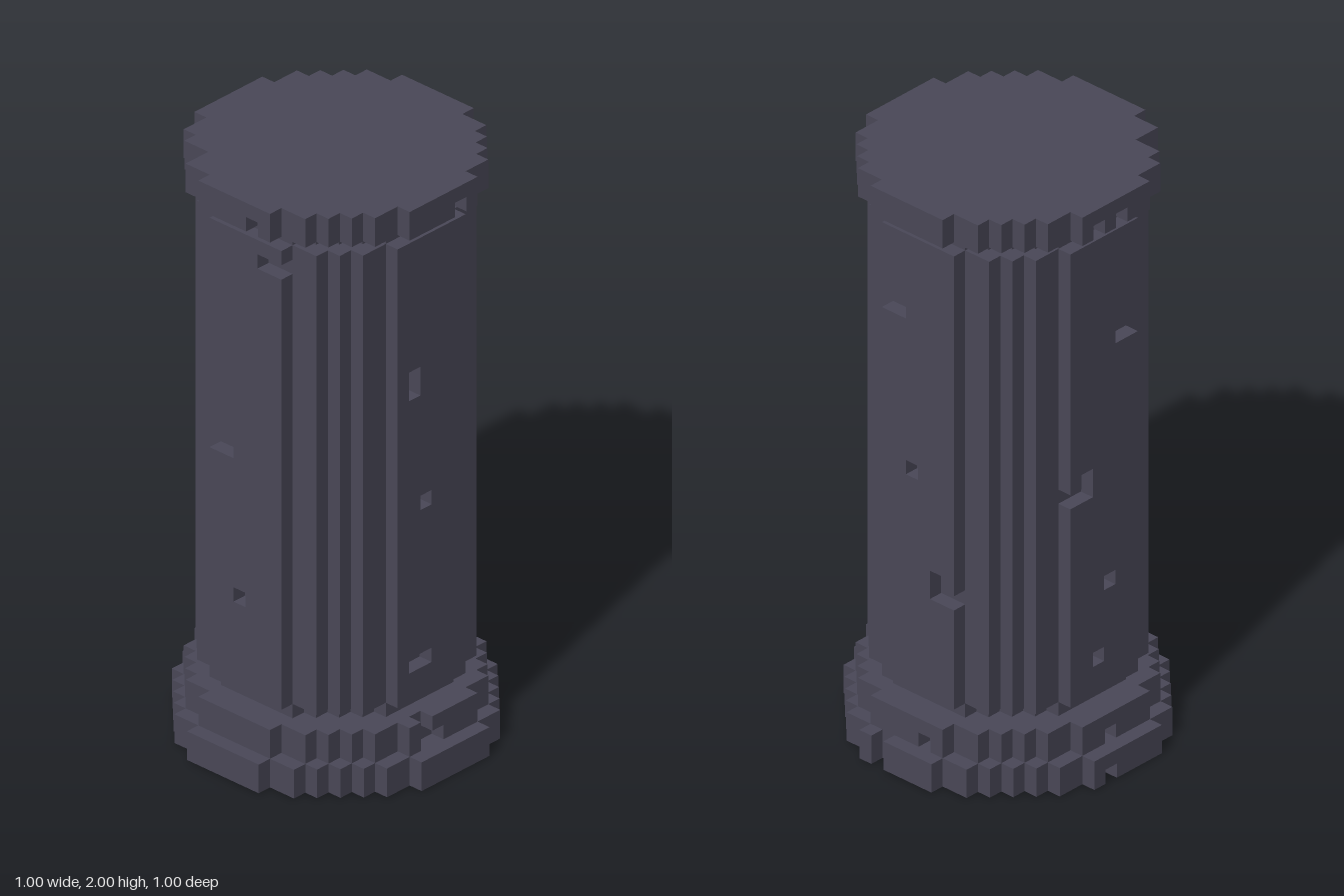
import * as THREE from 'three';

const CELL = 0.05;

// Stacked round layers: name, first row, end row, squared radius in cells
const LAYERS = [
  ['baseSlab', 0, 2, 97.5],
  ['basePlinth', 2, 4, 80],
  ['lowerNeck', 4, 5, 48.6],
  ['shaft', 5, 37, 64],
  ['upperNeck', 37, 38, 48.6],
  ['capital', 38, 40, 80],
];

// Chipped-out cells [x, row, z]
const CHIPS = [
  // front
  [1, 38, 8], [1, 37, 6], [2, 37, 6], [-2, 26, 7], [-2, 27, 7], [-1, 18, 7],
  [-2, 7, 7], [-1, 7, 7], [-2, 2, 8], [-2, 3, 8], [-1, 2, 8],
  // left side
  [7, 31, 1], [7, 31, 2], [7, 20, 0], [7, 13, -2], [7, 12, -2], [7, 12, -3],
  [8, 2, -2], [9, 0, 1], [9, 1, 1],
  // back
  [-2, 29, -8], [-3, 29, -8], [2, 19, -8], [1, 19, -8], [1, 20, -8],
  [-1, 12, -8], [0, 7, -8], [1, 38, -9], [-1, 38, -9], [1, 0, -10], [0, 2, -9],
  // right side
  [-8, 35, 1], [-8, 35, 2], [-8, 21, -3], [-8, 21, -2], [-8, 11, -1],
  [-9, 38, 1], [-7, 38, -6], [-7, 39, -6],
];
const chipped = new Set(CHIPS.map((c) => c.join()));

function solid(x, y, z) {
  const layer = LAYERS.find(([, from, to]) => y >= from && y < to);
  return !!layer && (x + 0.5) ** 2 + (z + 0.5) ** 2 < layer[3] && !chipped.has([x, y, z].join());
}

// Emits only the exposed faces of the cells in one layer
function layerGeometry(from, to) {
  const positions = [];
  const normals = [];
  const addFace = (cell, axis, sign) => {
    const u = (axis + 1) % 3;
    const v = (axis + 2) % 3;
    const corners = [[0, 0], [1, 0], [1, 1], [0, 1]].map(([a, b]) => {
      const p = [...cell];
      p[axis] += sign > 0 ? 1 : 0;
      p[u] += a;
      p[v] += b;
      return p.map((n) => n * CELL);
    });
    if (sign < 0) corners.reverse();
    const normal = [0, 0, 0];
    normal[axis] = sign;
    for (const i of [0, 1, 2, 0, 2, 3]) {
      positions.push(...corners[i]);
      normals.push(...normal);
    }
  };
  for (let y = from; y < to; y++)
    for (let x = -10; x < 10; x++)
      for (let z = -10; z < 10; z++) {
        if (!solid(x, y, z)) continue;
        for (let axis = 0; axis < 3; axis++)
          for (const sign of [-1, 1]) {
            const next = [x, y, z];
            next[axis] += sign;
            if (!solid(...next)) addFace([x, y, z], axis, sign);
          }
      }
  const geometry = new THREE.BufferGeometry();
  geometry.setAttribute('position', new THREE.Float32BufferAttribute(positions, 3));
  geometry.setAttribute('normal', new THREE.Float32BufferAttribute(normals, 3));
  return geometry;
}

export function createModel() {
  const stone = new THREE.MeshStandardMaterial({ color: 0x4a4858 });
  stone.name = 'darkStone';
  const column = new THREE.Group();
  column.name = 'stoneColumn';
  for (const [name, from, to] of LAYERS) {
    const mesh = new THREE.Mesh(layerGeometry(from, to), stone);
    mesh.name = name;
    column.add(mesh);
  }
  return column;
}
